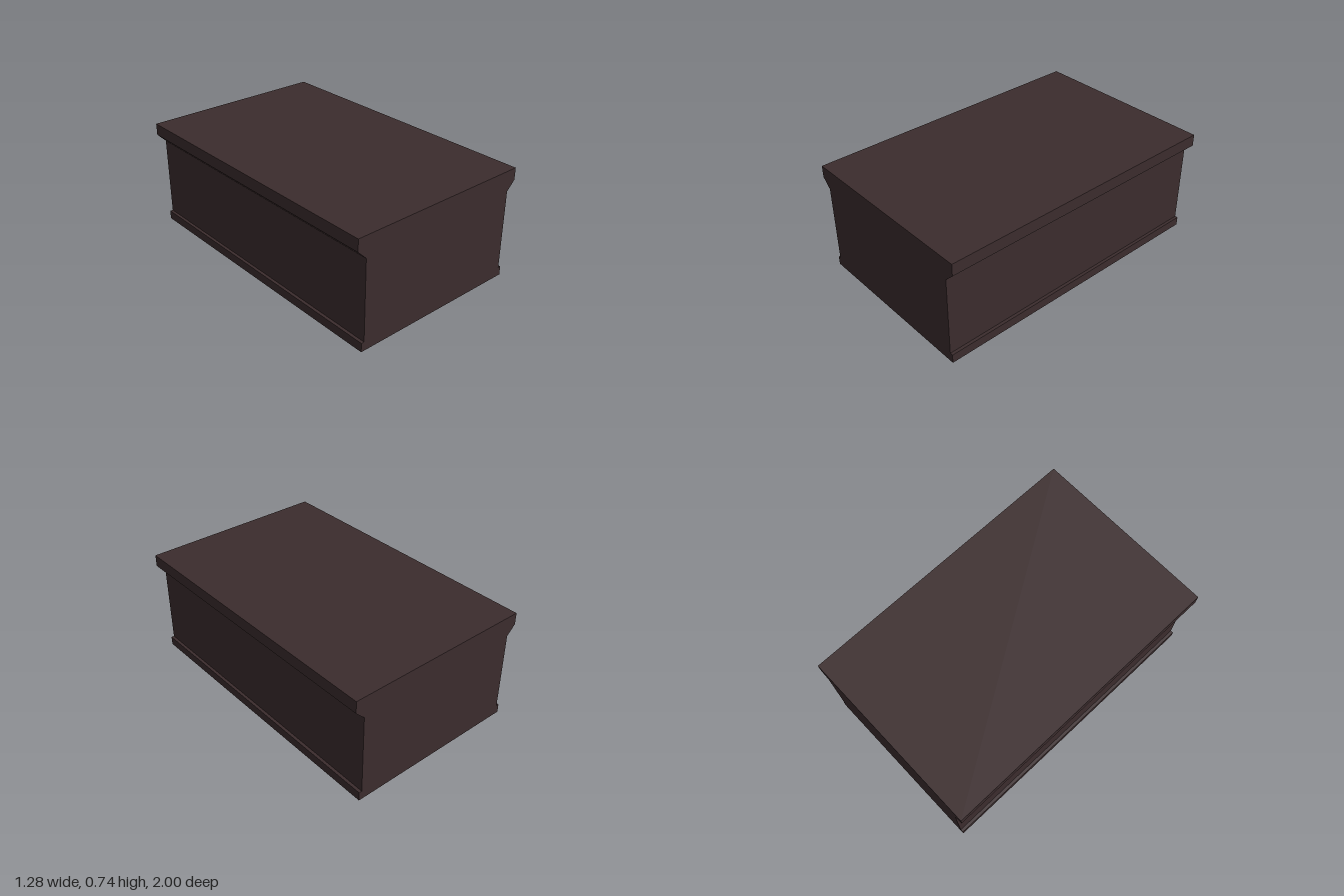
import * as THREE from 'three';

// Right half of the end profile, from the bottom up: plinth, wall, flared cornice
const HALF_PROFILE = [
  [0.6, 0], [0.6, 0.06], [0.58, 0.06], [0.58, 0.6], [0.64, 0.66], [0.64, 0.74],
];
const LENGTH = 2;

export function createModel() {
  const group = new THREE.Group();
  group.name = 'plinthBlock';

  const darkBrown = new THREE.MeshStandardMaterial({ color: 0x3b2c2d });
  darkBrown.name = 'darkBrown';

  // Mirror the half profile into a closed outline
  const mirrored = HALF_PROFILE.map(([x, y]) => [-x, y]).reverse();
  const outline = [...HALF_PROFILE, ...mirrored].map(([x, y]) => new THREE.Vector2(x, y));

  // Moulded block running front to back
  const geometry = new THREE.ExtrudeGeometry(new THREE.Shape(outline), {
    depth: LENGTH,
    bevelEnabled: false,
  });
  geometry.translate(0, 0, -LENGTH / 2);

  const body = new THREE.Mesh(geometry, darkBrown);
  body.name = 'mouldedBody';
  group.add(body);
  return group;
}
